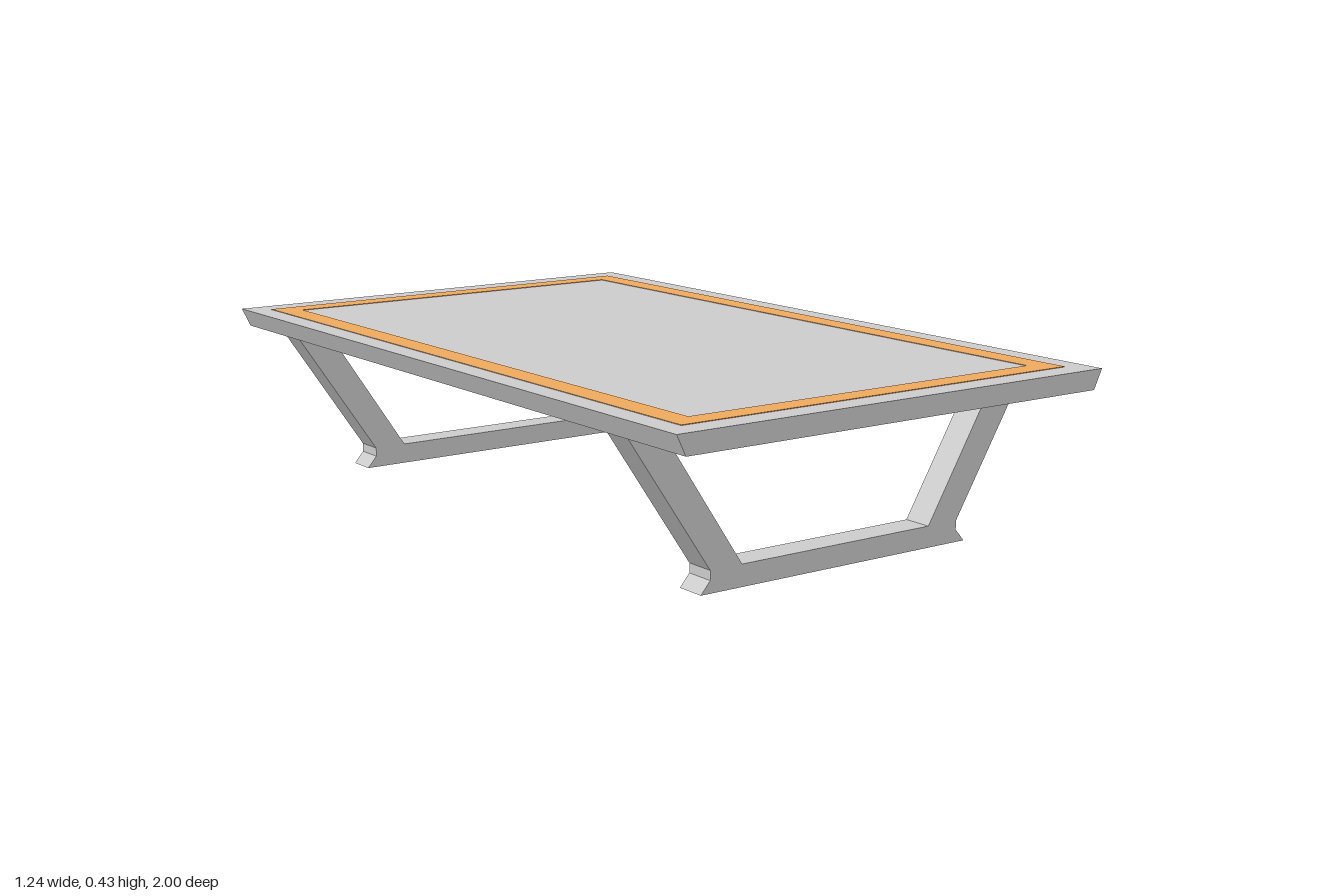
import * as THREE from 'three';

const grey = new THREE.MeshStandardMaterial({ color: 0xcccccc, flatShading: true });
const orange = new THREE.MeshStandardMaterial({ color: 0xeeaa5c, flatShading: true });

const toPoints = (pairs) => pairs.map(([x, y]) => new THREE.Vector2(x, y));
const rectangle = (x, z) => toPoints([[-x, -z], [x, -z], [x, z], [-x, z]]);

// Extrudes a front outline along z, centred on the given z
function slab(name, outline, depth, z) {
  const geometry = new THREE.ExtrudeGeometry(new THREE.Shape(toPoints(outline)), { depth, bevelEnabled: false });
  geometry.translate(0, 0, z - depth / 2);
  const mesh = new THREE.Mesh(geometry, grey);
  mesh.name = name;
  return mesh;
}

export function createModel() {
  const table = new THREE.Group();
  table.name = 'table';

  // Tabletop with long sides slanting inwards to the underside
  table.add(slab('tabletop', [[-0.598, 0.378], [0.598, 0.378], [0.622, 0.427], [-0.622, 0.427]], 2, 0));

  // Coloured border inlaid in the top
  const border = new THREE.Shape(rectangle(0.563, 0.937));
  border.holes.push(new THREE.Path(rectangle(0.5, 0.877)));
  const inlayGeometry = new THREE.ExtrudeGeometry(border, { depth: 0.003, bevelEnabled: false });
  inlayGeometry.rotateX(-Math.PI / 2).translate(0, 0.4255, 0);
  const inlay = new THREE.Mesh(inlayGeometry, orange);
  inlay.name = 'borderInlay';
  table.add(inlay);

  // Splayed leg frames, each with a floor rail and flared feet
  const frame = [
    [-0.397, 0], [0.397, 0], [0.37, 0.03], [0.37, 0.053], [0.57, 0.378], [0.477, 0.378],
    [0.28, 0.053], [-0.282, 0.053], [-0.5, 0.378], [-0.593, 0.378], [-0.371, 0.053], [-0.371, 0.03],
  ];
  for (const [name, z] of [['frontLegFrame', 0.752], ['backLegFrame', -0.752]]) {
    table.add(slab(name, frame, 0.076, z));
  }
  return table;
}
